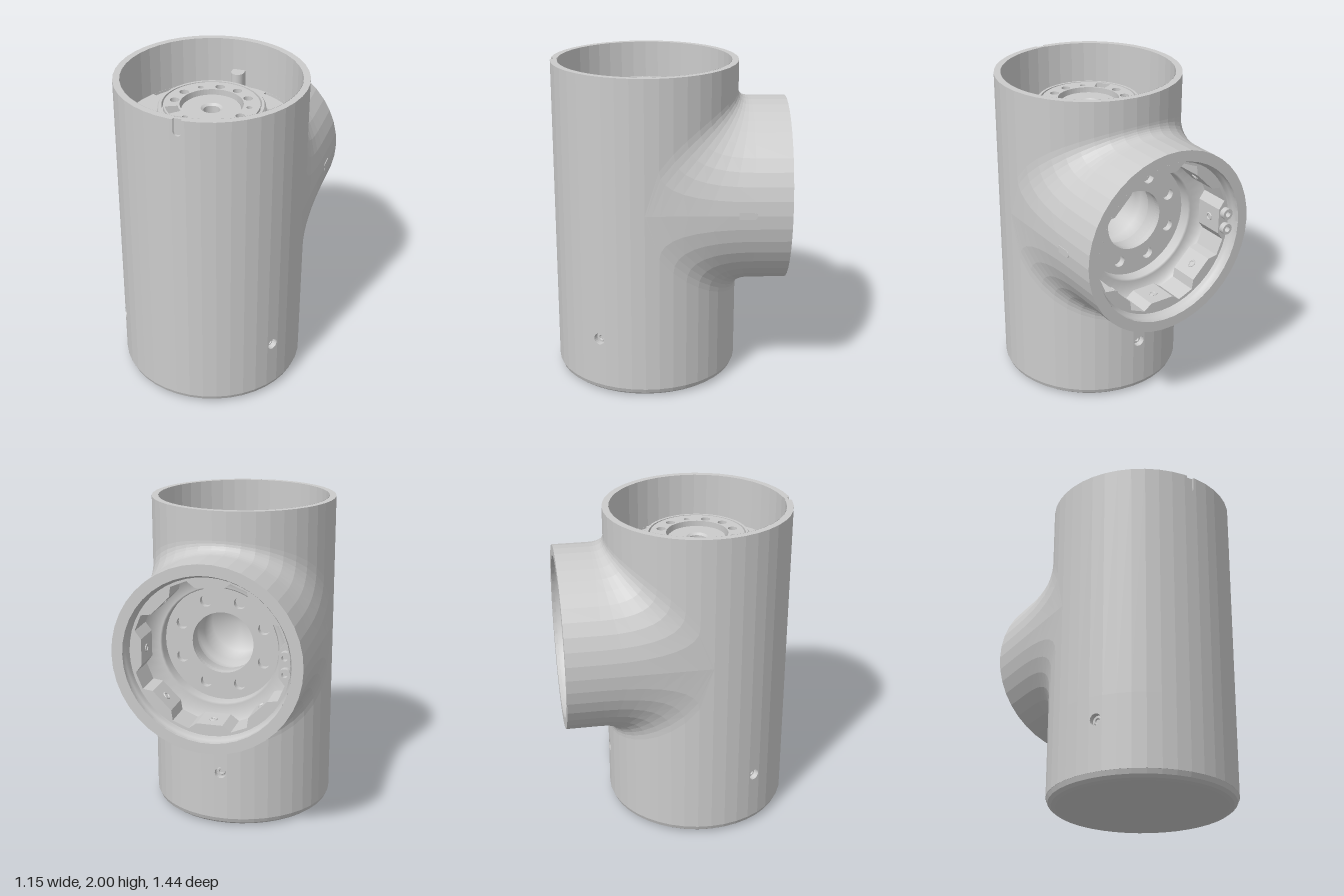
import * as THREE from 'three';

const R = 0.572, HALF = 21, STEP = Math.PI / HALF;   // shell radius, facets per half turn
const ZC = 0.148, YP = 1.185, END = 0.868;           // column axis z, branch axis y, branch length
const TAU = Math.PI * 2;
const mat = new THREE.MeshStandardMaterial({ color: 0xcccccc, flatShading: true });
const smooth = new THREE.MeshStandardMaterial({ color: 0xcccccc, side: THREE.DoubleSide });
const facet = new THREE.MeshStandardMaterial({ color: 0xcccccc, flatShading: true, side: THREE.DoubleSide });

function add(parent, name, geo, material = mat) {
  const m = new THREE.Mesh(geo, material);
  m.name = name;
  parent.add(m);
  return m;
}
const circle = (x, y, r) => new THREE.Path().absarc(x, y, r, 0, TAU, true);
function disc(r, holes = []) {
  const s = new THREE.Shape().absarc(0, 0, r, 0, TAU, false);
  s.holes.push(...holes);
  return s;
}
// Closed sector between two radii, used as an opening
const sector = (r0, r1, a0, a1) =>
  new THREE.Path().absarc(0, 0, r1, a0, a1, false).absarc(0, 0, r0, a1, a0, true);
const extrude = (shape, depth, seg = 32) =>
  new THREE.ExtrudeGeometry(shape, { depth, bevelEnabled: false, curveSegments: seg });
// Horizontal slab: shape (x, z), upper face at yTop
const slab = (shape, depth, yTop) =>
  extrude(shape, depth).rotateX(Math.PI / 2).translate(0, yTop, 0);
const lathe = (pts, seg) =>
  new THREE.LatheGeometry(pts.map(p => new THREE.Vector2(...p)), seg);
// Turn +z towards the angle a around the column
const around = (geo, a) => geo.rotateY(Math.PI / 2 - a);

// One flat facet of the column wall, optionally pierced or notched at the top
function wallStrip(parent, k, y0, y1, kind) {
  const w = R * Math.sin(STEP / 2), depth = 0.04, s = new THREE.Shape();
  s.moveTo(-w, y0).lineTo(w, y0).lineTo(w, y1);
  if (kind === 'notch') {
    s.lineTo(0.025, y1).lineTo(0.025, 1.925).absarc(0, 1.925, 0.025, 0, Math.PI, true).lineTo(-0.025, y1);
  }
  s.lineTo(-w, y1).closePath();
  if (kind === 'hole') s.holes.push(circle(0, 0.36, 0.036));
  const g = extrude(s, depth, 10).translate(0, 0, R * Math.cos(STEP / 2) - depth);
  add(parent, 'wallFacet', around(g, (k + 0.5) * STEP));
}

// Rear skin: runs along the column, through the blend, and out along the branch
function teeSheet(dir, yStart) {
  const pos = [], idx = [], bends = 8, rows = bends + 3;
  for (let i = 0; i <= HALF; i++) {
    const c = Math.cos(i * STEP), s = Math.max(0, Math.sin(i * STEP));
    const g = 0.64 * Math.pow(s, 0.45);
    pos.push(R * c, yStart, -R * s);
    for (let j = 0; j <= bends; j++) {
      const t = j / bends, a = (1 - t) ** 2, b = 2 * t * (1 - t), e = t * t;
      pos.push(R * c, YP + dir * (a * g + (b + e) * R * s), -(a + b) * R * s - e * 0.65);
    }
    pos.push(R * c, YP + dir * R * s, -END);
  }
  for (let i = 0; i < HALF; i++) for (let j = 0; j < rows - 1; j++) {
    const a = i * rows + j, b = a + 1, c = a + rows, d = c + 1;
    if (dir > 0) idx.push(a, b, c, b, d, c);
    else idx.push(a, c, b, b, c, d);
  }
  const geo = new THREE.BufferGeometry();
  geo.setAttribute('position', new THREE.Float32BufferAttribute(pos, 3));
  geo.setIndex(idx);
  geo.computeVertexNormals();
  return geo;
}

function buildColumn(g) {
  // Lower band all round, with three screw holes 120 degrees apart
  for (let k = 0; k < 2 * HALF; k++) {
    wallStrip(g, k, 0.05, 0.5, [3, 17, 31].includes(k) ? 'hole' : '');
    if (k < HALF) wallStrip(g, k, 0.5, 2, k === 10 ? 'notch' : '');
    else wallStrip(g, k, 1.9, 2);
  }
  for (const k of [3, 17, 31]) {
    const a = (k + 0.5) * STEP;
    add(g, 'screwSeat', around(new THREE.CylinderGeometry(0.042, 0.042, 0.01, 16)
      .rotateX(Math.PI / 2).translate(0, 0.36, 0.53), a));
    add(g, 'screwHead', around(new THREE.TorusGeometry(0.02, 0.008, 6, 16).translate(0, 0.36, 0.538), a));
  }
  add(g, 'notchFloor', new THREE.BoxGeometry(0.06, 0.11, 0.02).translate(0, 1.945, 0.545));
  add(g, 'upperSkin', teeSheet(1, 1.9));
  add(g, 'lowerSkin', teeSheet(-1, 0.5));
  add(g, 'bottomCap', lathe([[0, 0], [0.515, 0], [0.54, 0.006], [0.56, 0.022], [R, 0.055]], 2 * HALF)
    .rotateY(STEP / 2), facet);
  add(g, 'innerWall', lathe([[0.53, 1.6], [0.53, 2]], 2 * HALF).rotateY(STEP / 2), facet);
}

function buildTopJoint(g) {
  // Mounting floor with bolt holes and two curved gaps near the wall
  const bolts = [];
  for (let i = 0; i < 8; i++) {
    const a = i * Math.PI / 4;
    bolts.push(circle(0.37 * Math.cos(a), 0.37 * Math.sin(a), 0.022));
  }
  const gaps = [[-2.66, -1.93], [-1.21, -0.48]].map(([a, b]) => sector(0.503, 0.528, a, b));
  add(g, 'mountingFloor', slab(disc(0.535, [...bolts, ...gaps]), 0.05, 1.69));
  add(g, 'underFloor', slab(disc(0.53), 0.01, 1.61));

  // Locating post at the rear
  const post = new THREE.Shape().moveTo(0.04, -0.54).lineTo(0.04, -0.49)
    .absarc(0, -0.49, 0.04, 0, Math.PI, false).lineTo(-0.04, -0.54);
  add(g, 'locatingPost', slab(post, 0.12, 1.8));

  // Rotor hub: outer collar, drilled ring, dished centre
  add(g, 'hubCollar', lathe([[0.33, 1.69], [0.33, 1.74], [0.32, 1.75], [0.32, 1.805], [0.31, 1.82],
    [0.295, 1.82], [0.295, 1.78], [0.28, 1.78]], 48), facet);
  const holes = [];
  for (let i = 0; i < 12; i++) {
    const a = (i * 30 - 6) * Math.PI / 180;
    if (i === 5) holes.push(sector(0.2, 0.275, a - 0.17, a + 0.17));
    else holes.push(circle(0.225 * Math.cos(a), 0.225 * Math.sin(a), i % 4 ? 0.028 : 0.017));
  }
  add(g, 'drilledRing', slab(disc(0.285, [circle(0, 0, 0.188), ...holes]), 0.06, 1.82));
  add(g, 'ringBase', slab(disc(0.285, [circle(0, 0, 0.16)]), 0.02, 1.76));
  add(g, 'hubCentre', lathe([[0.18, 1.75], [0.18, 1.785], [0.172, 1.792], [0.065, 1.792],
    [0.05, 1.78], [0.05, 1.72], [0, 1.72]], 40), facet);
}

function buildBranch(g) {
  // Local z runs inward from the open end
  const rim = extrude(disc(R, [circle(0, 0, 0.505)]), 0.02, 21);
  add(g, 'branchRim', rim);
  add(g, 'branchBore', lathe([[0.505, 0], [0.505, 0.05], [0.485, 0.05], [0.485, 0.29], [0.37, 0.29],
    [0.36, 0.3], [0.36, 0.38]], 48).rotateX(Math.PI / 2), smooth);

  // Ring of eight inward lugs separated by shallow pockets
  const pocket = new THREE.Path();
  for (let i = 0; i < 8; i++) {
    const a = i * Math.PI / 4;
    [[-0.19, 0.42], [0.19, 0.42], [0.28, 0.468], [0.505, 0.468]].forEach(([d, r], n) => {
      const x = r * Math.cos(a + d), y = r * Math.sin(a + d);
      if (i + n === 0) pocket.moveTo(x, y); else pocket.lineTo(x, y);
    });
    add(g, 'lugBolt', new THREE.TorusGeometry(0.02, 0.006, 6, 14).rotateY(Math.PI / 2)
      .translate(0.412, 0, 0.16).rotateZ(a));
  }
  pocket.closePath();
  add(g, 'lugRing', extrude(disc(0.49, [pocket]), 0.19));
  g.children[g.children.length - 1].position.z = 0.07;

  // Drilled plate and the central bore behind it
  const holes = [];
  for (let i = 0; i < 8; i++) {
    const a = (i + 0.5) * Math.PI / 4;
    holes.push(circle(0.275 * Math.cos(a), 0.275 * Math.sin(a), 0.036));
  }
  add(g, 'innerPlate', extrude(disc(0.37, [circle(0, 0, 0.19), ...holes]), 0.04).translate(0, 0, 0.37));
  add(g, 'plateBacking', extrude(disc(0.36, [circle(0, 0, 0.2)]), 0.01).translate(0, 0, 0.44));
  add(g, 'centralBore', lathe([[0.2, 0.38], [0.2, 0.5], [0.23, 0.5], [0.23, 0.62], [0.19, 0.62],
    [0.19, 0.8], [0, 0.8]], 36).rotateX(Math.PI / 2), smooth);

  // Pair of screw bosses just inside the rim
  for (const y of [-0.05, 0.05]) {
    add(g, 'screwBoss', extrude(disc(0.035, [circle(0, 0, 0.018)]), 0.05, 12).translate(-0.455, y, 0.035));
  }
  // Alignment key on the left flank
  const key = new THREE.Shape().moveTo(-0.055, -0.022).lineTo(0.03, -0.022)
    .absarc(0.03, 0, 0.022, -Math.PI / 2, Math.PI / 2, false).lineTo(-0.055, 0.022);
  add(g, 'alignmentKey', extrude(key, 0.02, 8).rotateY(Math.PI / 2).scale(1, 1, -1)
    .rotateX(Math.PI).scale(1, 1, -1).rotateX(Math.PI).translate(R - 0.018, 0, 0.26));
}

export function createModel() {
  const root = new THREE.Group();
  root.name = 'jointHousing';
  const parts = [['column', buildColumn, 0, ZC], ['topJoint', buildTopJoint, 0, ZC],
    ['branch', buildBranch, YP, ZC - END]];
  for (const [name, build, y, z] of parts) {
    const g = new THREE.Group();
    g.name = name;
    g.position.set(0, y, z);
    build(g);
    root.add(g);
  }
  return root;
}
